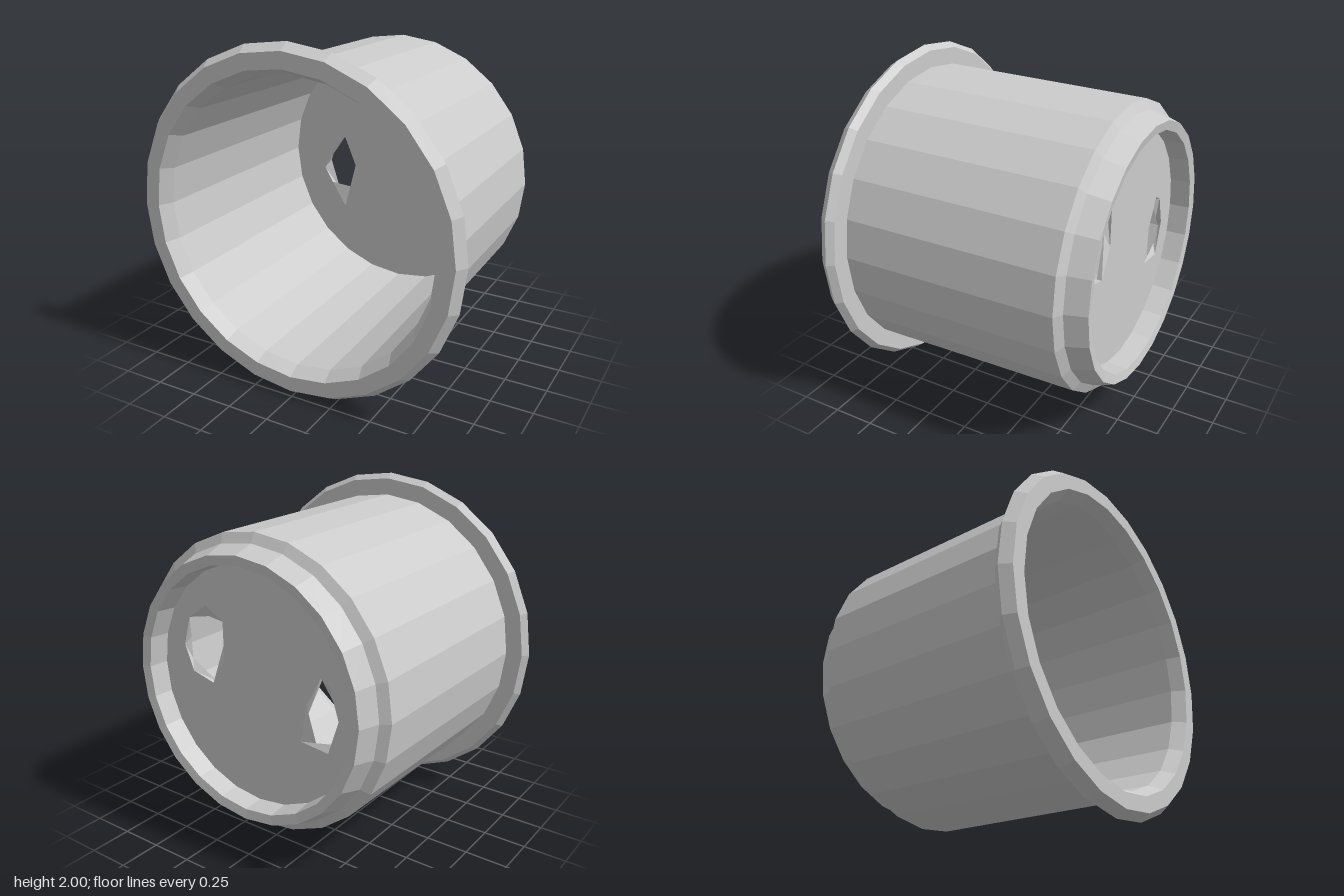
import * as THREE from 'three';

const SIDES = 24;
const INNER_Z = -0.61, OUTER_Z = -0.64;
const INNER_R = 0.8, OUTER_R = 0.69;

// Hole outlines, clockwise, relative to the pot's axis: inside and outside corners pair up
const holes = [
  {
    name: 'rightHoleWall',
    inner: [[-0.42, 0.13], [-0.33, -0.08], [-0.42, -0.37], [-0.52, -0.21], [-0.58, -0.11], [-0.53, -0.03]],
    outer: [[-0.43, 0.15], [-0.34, -0.02], [-0.3, -0.24], [-0.48, -0.26], [-0.545, -0.06], [-0.49, 0.12]],
  },
  {
    name: 'leftHoleWall',
    inner: [[0.23, 0.36], [0.36, 0.33], [0.5, 0.3], [0.505, 0.18], [0.5, 0.05], [0.32, -0.05], [0.25, 0.2]],
    outer: [[0.23, 0.33], [0.35, 0.4], [0.48, 0.31], [0.53, 0.14], [0.47, -0.01], [0.32, -0.05], [0.23, 0.11]],
  },
];

// Flat disc with the holes cut out; flip = -1 mirrors the outline in x
function discGeometry(radius, key, flip) {
  const rim = [];
  for (let i = 0; i < SIDES; i++) {
    const a = (i / SIDES) * Math.PI * 2;
    rim.push(new THREE.Vector2(Math.sin(a) * radius, Math.cos(a) * radius));
  }
  const shape = new THREE.Shape(rim);
  for (const h of holes) {
    shape.holes.push(new THREE.Path(h[key].map(([x, y]) => new THREE.Vector2(x * flip, y))));
  }
  return new THREE.ShapeGeometry(shape);
}

// Wall of a hole, joining its inside and outside outlines
function holeWallGeometry({ inner, outer }) {
  const pos = [], index = [], n = inner.length;
  for (let i = 0; i < n; i++) {
    pos.push(...inner[i], INNER_Z, ...outer[i], OUTER_Z);
    const a = 2 * i, b = 2 * ((i + 1) % n);
    index.push(a, a + 1, b, a + 1, b + 1, b);
  }
  const g = new THREE.BufferGeometry();
  g.setAttribute('position', new THREE.Float32BufferAttribute(pos, 3));
  g.setIndex(index);
  g.computeVertexNormals();
  return g;
}

export function createModel() {
  const model = new THREE.Group();
  model.name = 'plantPot';
  const material = new THREE.MeshStandardMaterial({ color: 0xcccccc, flatShading: true });
  const add = (name, geometry) => {
    const mesh = new THREE.Mesh(geometry, material);
    mesh.name = name;
    mesh.position.y = 1;
    model.add(mesh);
  };
  const ring = (profile) =>
    new THREE.LatheGeometry(profile.map(([r, z]) => new THREE.Vector2(r, z)), SIDES).rotateX(Math.PI / 2);

  // Raised foot ring around the recessed base
  add('footRing', ring([[OUTER_R, OUTER_Z], [0.7, -0.76], [0.755, -0.77], [0.795, -0.65], [0.85, -0.62]]));

  // Slightly tapered outside wall
  add('outerWall', ring([[0.85, -0.62], [0.87, 0.66]]));

  // Flange around the open end
  add('rim', ring([[0.87, 0.66], [0.97, 0.66], [1, 0.7], [0.96, 0.76], [0.87, 0.76], [0.83, 0.68]]));

  // Inside wall
  add('innerWall', ring([[0.83, 0.68], [INNER_R, INNER_Z]]));

  // Both faces of the base
  add('innerBase', discGeometry(INNER_R, 'inner', 1).translate(0, 0, INNER_Z));
  add('outerBase', discGeometry(OUTER_R, 'outer', -1).rotateY(Math.PI).translate(0, 0, OUTER_Z));

  // Drainage holes
  for (const h of holes) add(h.name, holeWallGeometry(h));

  return model;
}
